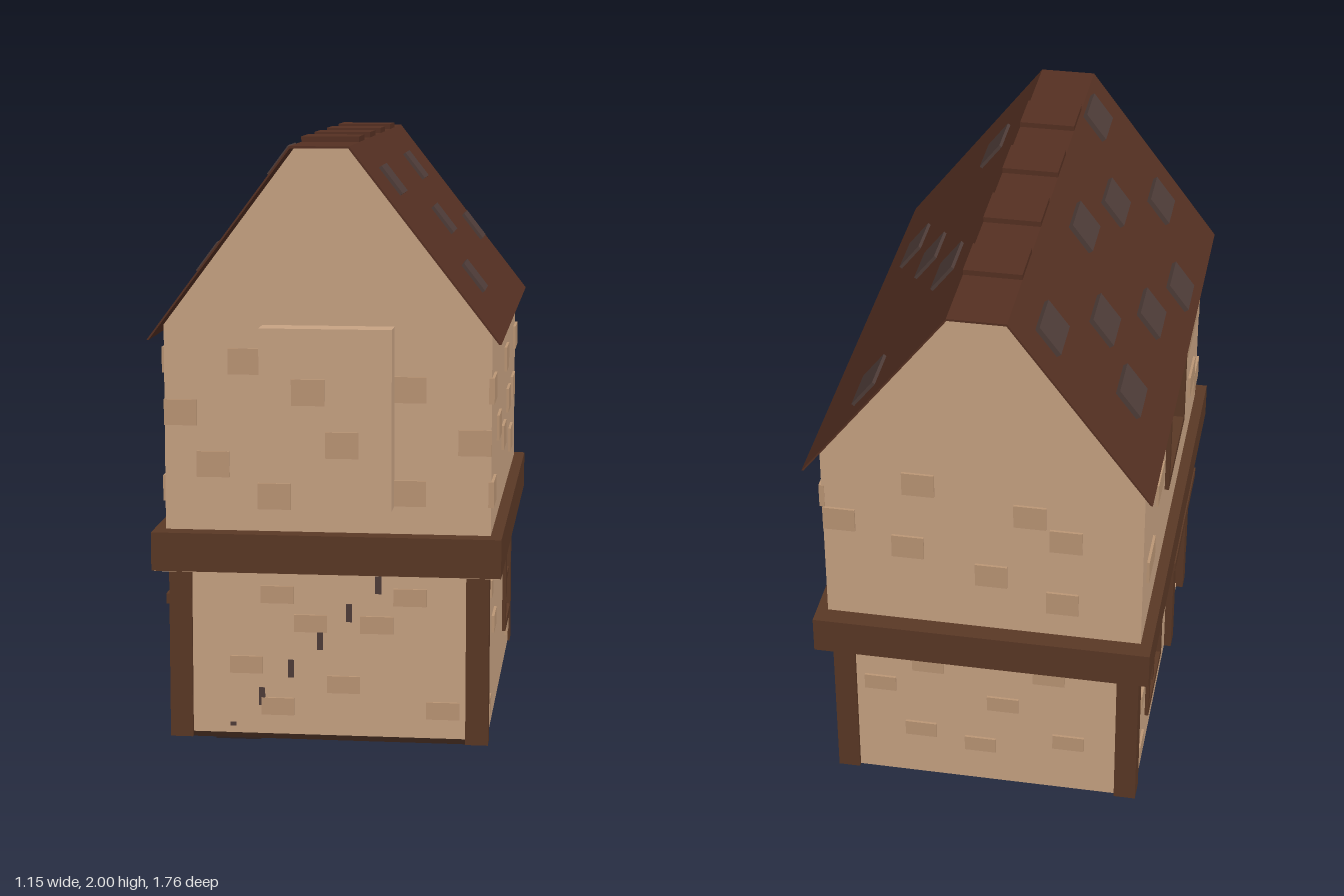
import * as THREE from 'three';

const mat = (color) => new THREE.MeshStandardMaterial({ color, flatShading: true, side: THREE.DoubleSide });
const plaster = mat(0xc8a383), brickMat = mat(0xbb9675), wood = mat(0x5a3825), roofMat = mat(0x553022);
const slate = mat(0x4e3c38), floorMat = mat(0x38241a), dark = mat(0x2c2224);
const T = 0.025; // wall thickness

export function createModel() {
  const root = new THREE.Group();
  const group = (name) => {
    const g = new THREE.Group();
    g.name = name;
    root.add(g);
    return g;
  };
  const add = (parent, name, geo, material) => {
    const m = new THREE.Mesh(geo, material);
    m.name = name;
    parent.add(m);
    return m;
  };
  // box given by its extents on each axis
  const box = (parent, name, material, [x0, x1], [y0, y1], [z0, z1]) => {
    const m = add(parent, name, new THREE.BoxGeometry(x1 - x0, y1 - y0, z1 - z0), material);
    m.position.set((x0 + x1) / 2, (y0 + y1) / 2, (z0 + z1) / 2);
    return m;
  };
  const extrude = (points, depth, holes = []) => {
    const s = new THREE.Shape(points.map((p) => new THREE.Vector2(...p)));
    for (const [a0, a1, b0, b1] of holes) {
      s.holes.push(new THREE.Path([[a0, b0], [a0, b1], [a1, b1], [a1, b0]].map((p) => new THREE.Vector2(...p))));
    }
    return new THREE.ExtrudeGeometry(s, { depth, bevelEnabled: false });
  };
  // wall along z with rectangular openings [z0, z1, y0, y1]
  const sideWall = (name, side, x, z0, z1, y0, y1, holes) => {
    const m = add(root, name, extrude([[z0, y0], [z1, y0], [z1, y1], [z0, y1]], T, holes), plaster);
    m.rotation.y = -Math.PI / 2;
    m.position.x = side > 0 ? x : -x + T;
  };

  // lower storey
  box(root, 'groundFloor', floorMat, [-0.52, 0.52], [0.008, 0.025], [-0.74, 0.73]);
  box(root, 'lowerFrontWall', plaster, [-0.52, 0.52], [0.01, 0.59], [0.73 - T, 0.73]);
  box(root, 'lowerBackWall', plaster, [-0.52, 0.52], [0.01, 0.59], [-0.745, -0.745 + T]);
  const rightWin = [-0.59, -0.29, 0.175, 0.45], leftWin = [-0.45, -0.14, 0.175, 0.45];
  sideWall('lowerSideWall', 1, 0.522, -0.74, 0.73, 0.01, 0.59, [rightWin]);
  sideWall('lowerDoorWall', -1, 0.522, -0.74, 0.73, 0.01, 0.59, [leftWin, [0.16, 0.48, 0.026, 0.42]]);
  const posts = group('cornerPosts');
  for (const s of [-1, 1]) {
    const xs = s > 0 ? [0.455, 0.53] : [-0.53, -0.455];
    box(posts, 'frontPost', wood, xs, [0.01, 0.59], [0.68, 0.745]);
    box(posts, 'backPost', wood, xs, [0.01, 0.59], [-0.76, -0.68]);
  }

  // band between the storeys
  box(root, 'storeyBand', wood, [-0.573, 0.573], [0.592, 0.72], [-0.845, 0.83]);
  box(root, 'bandUnderside', plaster, [-0.565, 0.565], [0.589, 0.595], [-0.837, 0.822]);

  // upper storey with gables
  const gable = [[-0.535, 0.72], [0.535, 0.72], [0.535, 1.395], [0.083, 1.973], [-0.103, 1.973], [-0.535, 1.397]];
  add(root, 'frontGable', extrude(gable, T), plaster).position.z = 0.765 - T;
  add(root, 'backGable', extrude(gable, T), plaster).position.z = -0.78;
  sideWall('upperSideWall', 1, 0.535, -0.78, 0.765, 0.72, 1.39, []);
  const attic = [-0.19, 0.21, 0.98, 1.24];
  sideWall('upperWindowWall', -1, 0.535, -0.78, 0.765, 0.72, 1.39, [attic]);
  box(root, 'wallProjection', plaster, [-0.21, 0.22], [0.81, 1.4], [0.76, 0.86]);

  // window frames: border plus optional cross bars
  const windowFrame = (name, x0, x1, [z0, z1, y0, y1], cross) => {
    const g = group(name), w = 0.025;
    box(g, 'sill', wood, [x0, x1], [y0 - w, y0 + 0.005], [z0 - w, z1 + w]);
    box(g, 'head', wood, [x0, x1], [y1 - 0.005, y1 + w], [z0 - w, z1 + w]);
    box(g, 'jamb', wood, [x0, x1], [y0, y1], [z0 - w, z0 + 0.008]);
    box(g, 'jamb', wood, [x0, x1], [y0, y1], [z1 - 0.008, z1 + w]);
    if (!cross) return;
    const zc = (z0 + z1) / 2, yc = (y0 + y1) / 2;
    box(g, 'mullion', wood, [x0 + 0.006, x1 - 0.006], [y0, y1], [zc - 0.016, zc + 0.016]);
    box(g, 'crossbar', wood, [x0 + 0.006, x1 - 0.006], [yc - 0.012, yc + 0.012], [z0, z1]);
  };
  windowFrame('rightWindow', 0.49, 0.535, rightWin, true);
  windowFrame('leftWindow', -0.535, -0.49, leftWin, true);
  windowFrame('upperWindow', -0.55, -0.505, attic, false);

  // doorway
  const door = group('doorway');
  for (const z of [0.1, 0.47]) box(door, 'doorPost', wood, [-0.548, -0.5], [0.01, 0.44], [z, z + 0.07]);
  box(door, 'lintel', wood, [-0.562, -0.5], [0.435, 0.47], [0.01, 0.63]);

  // roof shell
  const roof = group('roof'), r = 0.007;
  const outer = [[-0.57, 1.36], [-0.105, 1.982], [0.085, 1.982], [0.57, 1.36]];
  const inner = [[0.57 - r, 1.36], [0.083, 1.975], [-0.103, 1.975], [-0.57 + r, 1.36]];
  add(roof, 'roofShell', extrude([...outer, ...inner], 1.76), roofMat).position.z = -0.88;
  for (let i = 0; i < 4; i++) {
    const z = -0.61 + i * 0.343;
    box(roof, 'ridgeTile', roofMat, [-0.105, 0.085], [1.975, 2.0], [z, z + 0.17]);
  }
  // loose shingles [x, z] lying on each slope
  const shingles = (list, xEave, xRidge, lift) => {
    const slope = 0.622 / (xRidge - xEave), angle = Math.atan(slope);
    for (const [x, z] of list) {
      const m = add(roof, 'shingle', new THREE.BoxGeometry(0.115, 0.022, 0.17), slate);
      m.position.set(x, 1.36 + slope * (x - xEave), z);
      m.rotation.z = angle;
      m.translateY(lift);
    }
  };
  shingles([[0.375, -0.7], [0.185, -0.355], [0.315, -0.015], [0.445, 0.325], [0.185, 0.5]], 0.57, 0.085, 0.0);
  shingles([[-0.205, -0.67], [-0.44, -0.505], [-0.325, -0.335], [-0.44, -0.015], [-0.205, -0.015],
    [-0.5, 0.315], [-0.265, 0.315], [-0.385, 0.645], [-0.15, 0.645]], -0.57, -0.105, 0.006);

  // raised bricks: [position along wall, height, optional length]
  const bricks = group('bricks');
  const brickRow = (axis, face, len, h, list) => {
    const d = 0.009;
    for (const [a, y, l = len] of list) {
      const along = [a - l / 2, a + l / 2], up = [y - h / 2, y + h / 2], across = [face - d, face + d];
      if (axis === 'x') box(bricks, 'brick', brickMat, across, up, along);
      else box(bricks, 'brick', brickMat, along, up, across);
    }
  };
  // upper storey
  brickRow('z', 0.765, 0.108, 0.085, [[-0.27, 1.28], [0.27, 1.195], [0.482, 1.025], [-0.482, 1.11],
    [-0.375, 0.94], [0.27, 0.855]]);
  brickRow('z', 0.86, 0.108, 0.085, [[-0.05, 1.195], [0.06, 1.025], [-0.16, 0.855]]);
  brickRow('x', 0.535, 0.155, 0.085, [[0.69, 1.195], [0.38, 1.025], [0.69, 0.855], [0.07, 0.94], [-0.085, 1.195],
    [-0.24, 1.025], [-0.395, 0.855], [-0.55, 1.025], [-0.705, 1.195]]);
  brickRow('x', -0.535, 0.155, 0.085, [[0.38, 1.195], [0.54, 1.195], [0.68, 1.28], [0.54, 0.94], [0.68, 0.855],
    [-0.4, 1.11], [-0.6, 0.94]]);
  brickRow('z', -0.78, 0.108, 0.085, [[0.48, 1.11], [0.21, 1.28], [0.25, 1.025], [-0.03, 0.94], [-0.16, 1.195],
    [-0.28, 1.11], [-0.27, 0.855]]);
  // lower storey
  brickRow('z', 0.73, 0.11, 0.058, [[-0.17, 0.5], [0.27, 0.5], [-0.06, 0.405], [0.16, 0.405], [-0.275, 0.26],
    [0.05, 0.2], [-0.17, 0.12], [0.38, 0.12]]);
  brickRow('x', 0.522, 0.12, 0.058, [[0.545, 0.5, 0.075], [-0.205, 0.5], [0.36, 0.345, 0.145], [0.62, 0.115, 0.08],
    [-0.52, 0.115]]);
  brickRow('x', -0.522, 0.1, 0.058, [[-0.6, 0.35], [-0.6, 0.12], [0.62, 0.4, 0.08], [-0.02, 0.3]]);
  brickRow('z', -0.745, 0.11, 0.058, [[0.37, 0.4], [0.23, 0.21], [0.02, 0.17], [-0.06, 0.36], [-0.22, 0.5],
    [-0.29, 0.22], [0.2, 0.5]]);

  // staircase inside the front wall, tread ends showing through it
  const stairs = group('stairs');
  for (let i = 0; i < 6; i++) {
    const x = -0.32 + i * 0.097, y = 0.055 + i * 0.097;
    box(stairs, 'tread', slate, [x - 0.06, x + 0.06], [y - 0.015, y + 0.015], [0.44, 0.72]);
    box(stairs, 'treadEnd', slate, [x - 0.01, x + 0.01], [y - (i ? 0.03 : 0.006), y + (i ? 0.03 : 0.006)], [0.7, 0.735]);
  }

  // table, bottles and floor mats
  const table = group('table');
  box(table, 'tableTop', wood, [-0.15, 0.25], [0.155, 0.175], [-0.56, -0.3]);
  for (const x of [-0.12, 0.2]) {
    for (const z of [-0.53, -0.34]) box(table, 'tableLeg', wood, [x, x + 0.025], [0.02, 0.16], [z, z + 0.025]);
  }
  box(table, 'crate', dark, [0, 0.08], [0.175, 0.23], [-0.41, -0.37]);
  for (const z of [-0.49, -0.52]) {
    add(table, 'bottle', new THREE.CylinderGeometry(0.006, 0.013, 0.045, 8), dark).position.set(0.1, 0.197, z);
  }
  box(root, 'floorMat', dark, [0.31, 0.5], [0, 0.03], [0.04, 0.35]);
  box(root, 'floorMat', dark, [-0.38, -0.23], [0, 0.03], [0.41, 0.72]);
  return root;
}
